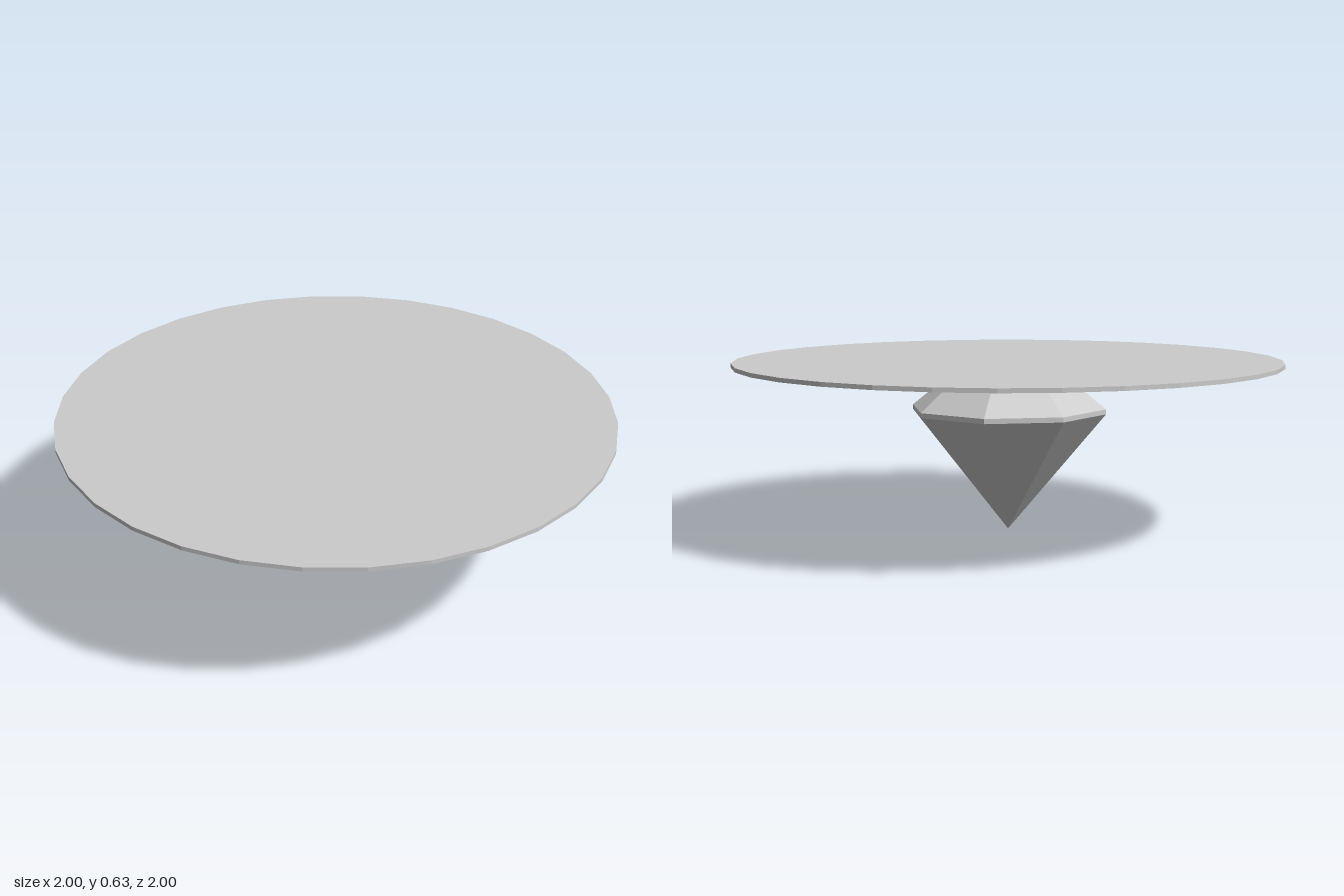
import * as THREE from 'three';

export function createModel() {
  const group = new THREE.Group();
  const material = new THREE.MeshStandardMaterial({ color: 0xcccccc, flatShading: true });

  // Adds a faceted ring section spanning y0..y1
  const section = (name, rTop, rBottom, y0, y1, sides, open) => {
    const geometry = new THREE.CylinderGeometry(rTop, rBottom, y1 - y0, sides, 1, open);
    const mesh = new THREE.Mesh(geometry, material);
    mesh.name = name;
    mesh.position.y = (y0 + y1) / 2;
    group.add(mesh);
  };

  // Thin round plate
  section('disc', 1, 1, 0.617, 0.632, 32, false);

  // Eight-sided gem hanging below the plate, point down
  section('gemCrown', 0.165, 0.365, 0.457, 0.617, 8, true);
  section('gemGirdle', 0.365, 0.365, 0.439, 0.457, 8, true);
  section('gemPavilion', 0.365, 0, 0, 0.439, 8, true);

  return group;
}
